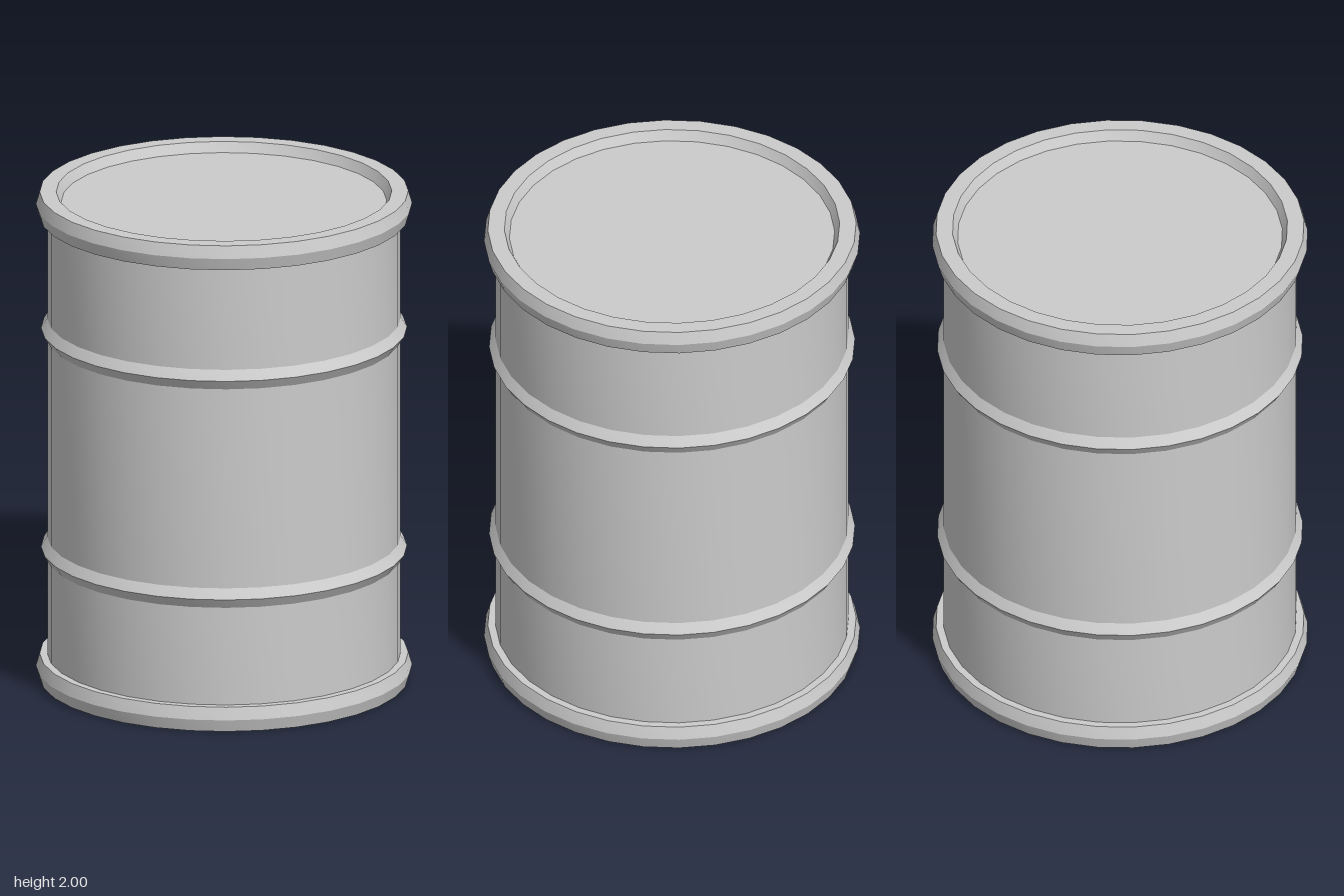
import * as THREE from 'three';
import { toCreasedNormals } from 'three/addons/utils/BufferGeometryUtils.js';

const SIDES = 32;
const BODY_RADIUS = 0.695;
const HEIGHT = 2;

export function createModel() {
  const barrel = new THREE.Group();
  barrel.name = 'barrel';
  const material = new THREE.MeshStandardMaterial({ color: 0xcccccc });

  const addMesh = (name, geometry) => {
    const mesh = new THREE.Mesh(geometry, material);
    mesh.name = name;
    barrel.add(mesh);
    return mesh;
  };

  // Revolves [radius, y] points: smooth around, sharp along the profile
  const addRing = (name, profile) => {
    const points = profile.map(([r, y]) => new THREE.Vector2(r, y));
    return addMesh(name, toCreasedNormals(new THREE.LatheGeometry(points, SIDES), 0.35));
  };

  // Wall with two raised hoops pressed into it
  const hoop = (y) => [
    [BODY_RADIUS, y - 0.04],
    [0.72, y],
    [BODY_RADIUS, y + 0.04],
  ];
  addRing('wall', [
    [BODY_RADIUS, 0.1],
    ...hoop(0.54),
    ...hoop(1.44),
    [BODY_RADIUS, HEIGHT - 0.1],
  ]);

  // Rim: underside, bulging outer edge, flat top, then the inner slope down to the lid
  const rim = [
    [BODY_RADIUS, HEIGHT - 0.1],
    [0.725, HEIGHT - 0.1],
    [0.74, HEIGHT - 0.05],
    [0.725, HEIGHT],
    [0.66, HEIGHT],
    [0.64, HEIGHT - 0.04],
  ];
  addRing('topRim', rim);
  addRing('bottomRim', rim.map(([r, y]) => [r, HEIGHT - y]).reverse());

  // Recessed end discs
  for (const [name, y, tilt] of [['lid', HEIGHT - 0.04, -1], ['base', 0.04, 1]]) {
    const disc = addMesh(name, new THREE.CircleGeometry(0.64, SIDES));
    disc.rotation.x = (tilt * Math.PI) / 2;
    disc.position.y = y;
  }

  return barrel;
}
